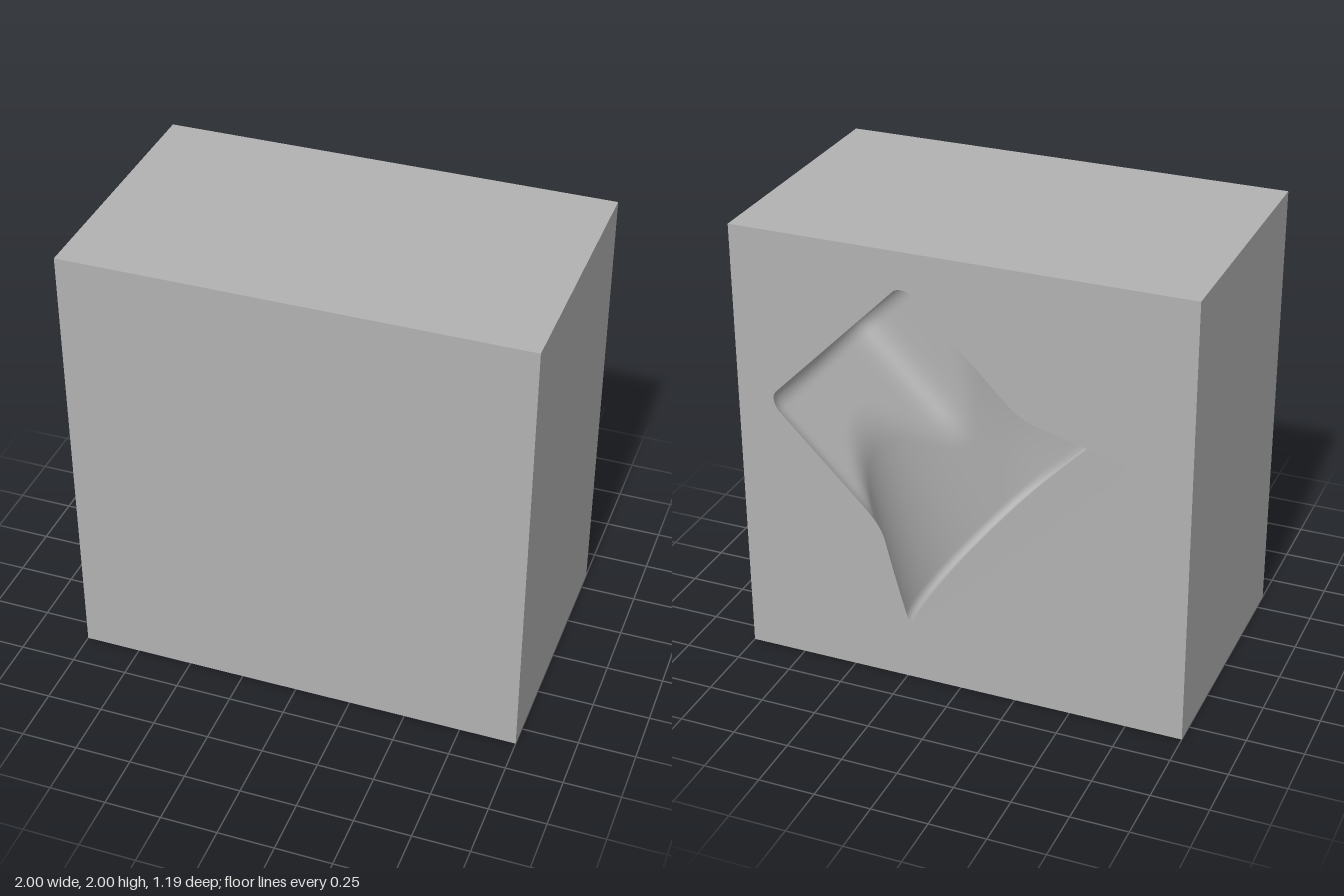
import * as THREE from 'three';

const WIDTH = 2, HEIGHT = 2, DEPTH = 1.19;
const AXIS = 0.425;              // depth of the cavity's axis below the back face
const START = -0.775, END = 0.365; // cavity ends along its diagonal axis
const SEGMENTS = 120;

// s runs down the diagonal axis, t across it, d into the block
const place = (s, t, d) => new THREE.Vector3(
  -(s + t) * Math.SQRT1_2, HEIGHT / 2 + (t - s) * Math.SQRT1_2, -DEPTH / 2 + d);

// Cross-section radius: rounded square neck blended with a widening cone
function radius(s, a) {
  const half = Math.cos(a) > 0 ? 0.62 : 0.455, p = 10;
  const neck = Math.pow(Math.pow(Math.abs(Math.sin(a)) / 0.465, p) +
    Math.pow(Math.abs(Math.cos(a)) / half, p), -1 / p);
  const cone = Math.max(0.05, 0.836 + 0.49 * (s - END));
  const k = 0.05, h = Math.max(k - Math.abs(neck - cone), 0);
  return Math.max(neck, cone) + h * h / (4 * k);
}

// One open section, from one lip of the opening round to the other
function section({ s, inset }) {
  const r = (a) => radius(s, a) - inset;
  let lo = 0.1, hi = Math.PI / 2;
  for (let i = 0; i < 40; i++) {
    const mid = (lo + hi) / 2;
    if (AXIS - r(mid) * Math.cos(mid) < 0) lo = mid; else hi = mid;
  }
  const points = [];
  for (let j = 0; j <= SEGMENTS; j++) {
    const a = hi + (2 * Math.PI - 2 * hi) * j / SEGMENTS;
    let d = Math.max(0, AXIS - r(a) * Math.cos(a));
    if (j === 0 || j === SEGMENTS) d = 0;
    // Slightly tucked-in lip, and a soft limit that keeps the front wall closed
    const lip = 1 - 0.04 * Math.max(0, 1 - d / 0.06) ** 2;
    if (d > 0.95) d = 0.95 + 0.2 * Math.tanh((d - 0.95) / 0.2);
    points.push(place(s, r(a) * Math.sin(a) * lip, d));
  }
  return points;
}

// Stations along the axis, with rounded edges at both ends
function stations() {
  const list = [], topR = 0.08, endR = 0.045, n = 8, m = 60;
  for (let i = 0; i <= n; i++) {
    const a = i / n * Math.PI / 2;
    list.push({ s: START + topR * (1 - Math.cos(a)), inset: topR * (1 - Math.sin(a)) });
  }
  for (let i = 1; i < m; i++) {
    list.push({ s: THREE.MathUtils.lerp(START + topR, END - endR, i / m), inset: 0 });
  }
  for (let i = n; i >= 0; i--) {
    const a = i / n * Math.PI / 2;
    list.push({ s: END - endR * (1 - Math.cos(a)), inset: endR * (1 - Math.sin(a)) });
  }
  return list;
}

function surface(points, index) {
  const geometry = new THREE.BufferGeometry().setFromPoints(points);
  geometry.setIndex(index);
  geometry.computeVertexNormals();
  return geometry;
}

function wallGeometry(rings) {
  const index = [], row = SEGMENTS + 1;
  for (let i = 0; i < rings.length - 1; i++) {
    for (let j = 0; j < SEGMENTS; j++) {
      const a = i * row + j, b = a + 1, c = a + row, d = c + 1;
      index.push(a, b, c, b, d, c);
    }
  }
  return surface(rings.flat(), index);
}

function capGeometry(ring, s, flip) {
  const index = [], n = ring.length;
  for (let j = 0; j < n; j++) {
    const k = (j + 1) % n;
    index.push(n, flip ? k : j, flip ? j : k);
  }
  return surface([...ring, place(s, 0, AXIS)], index);
}

export function createModel() {
  const group = new THREE.Group();
  group.name = 'mouldBlock';
  const grey = new THREE.MeshStandardMaterial({ color: 0xb2b2b2 });
  grey.name = 'grey';
  const add = (name, geometry) => {
    const mesh = new THREE.Mesh(geometry, grey);
    mesh.name = name;
    group.add(mesh);
    return mesh;
  };

  // Block without its back face (the last six indices of a box)
  const block = new THREE.BoxGeometry(WIDTH, HEIGHT, DEPTH);
  block.setIndex(Array.from(block.index.array.slice(0, 30)));
  block.clearGroups();
  add('block', block).position.y = HEIGHT / 2;

  // Flared cavity
  const list = stations();
  const rings = list.map(section);
  add('cavityWall', wallGeometry(rings));
  add('cavityTop', capGeometry(rings[0], START, true));
  add('cavityBase', capGeometry(rings[rings.length - 1], END, false));

  // Back face with the cavity's opening cut out
  const face = new THREE.Shape([[-1, 0], [1, 0], [1, HEIGHT], [-1, HEIGHT]]
    .map(([x, y]) => new THREE.Vector2(x, y)));
  const rim = [...rings.map((r) => r[0]), ...rings.map((r) => r[SEGMENTS]).reverse()];
  face.holes.push(new THREE.Path(rim.map((p) => new THREE.Vector2(-p.x, p.y))));
  const back = new THREE.ShapeGeometry(face);
  back.rotateY(Math.PI);
  back.translate(0, 0, -DEPTH / 2);
  add('backFace', back);

  return group;
}
